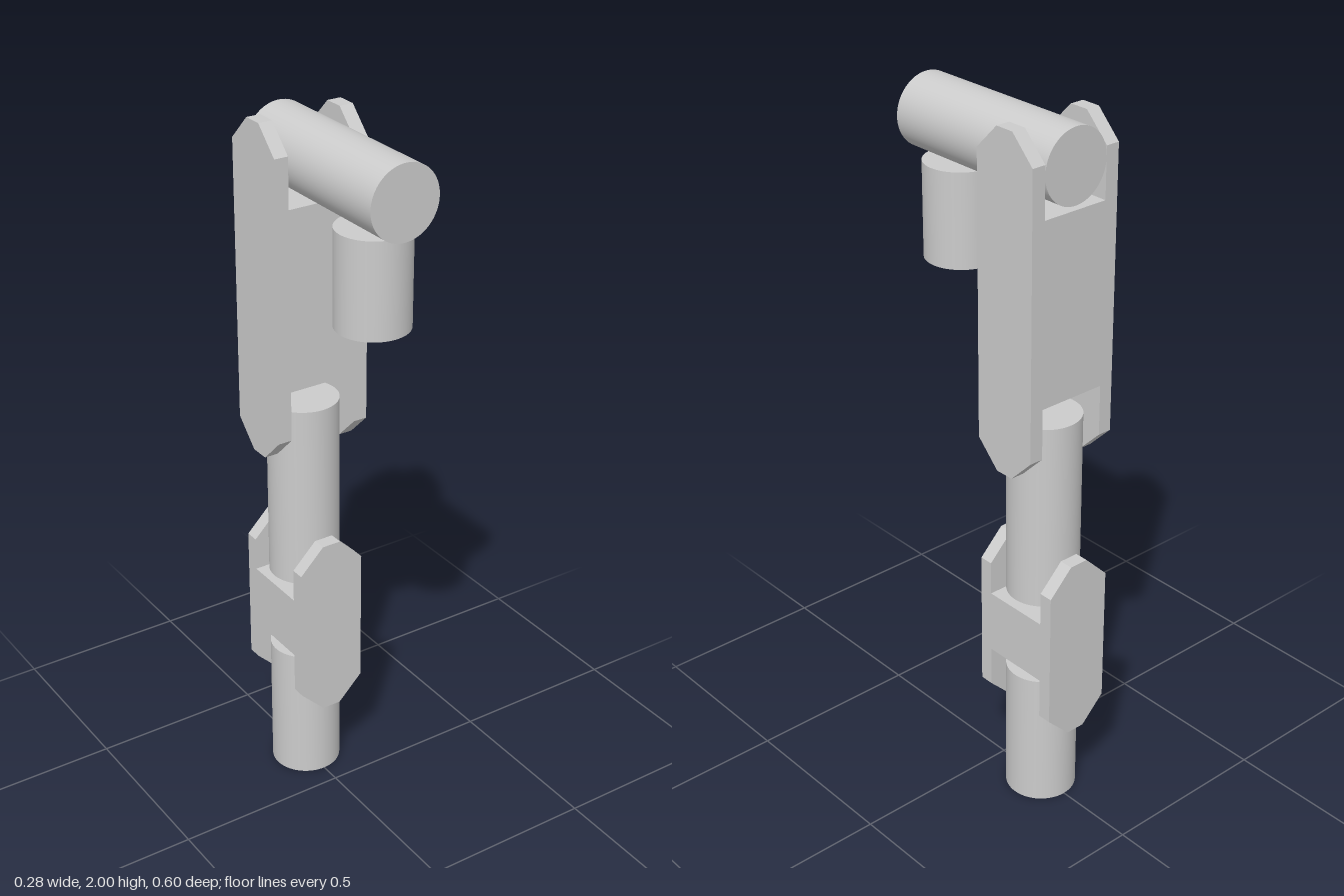
import * as THREE from 'three';

const R = 0.1;      // rod radius, also half the bracket width
const PLATE = 0.04; // cheek plate thickness
const CUT = 0.072;  // corner chamfer
const Z = -0.16;    // axis of the upright rods

const material = new THREE.MeshStandardMaterial({ color: 0xcccccc });

function part(name, geometry) {
  const mesh = new THREE.Mesh(geometry, material);
  mesh.name = name;
  return mesh;
}

function rod(name, length) {
  return part(name, new THREE.CylinderGeometry(R, R, length, 64));
}

function uprightRod(name, y0, y1, z) {
  const mesh = rod(name, y1 - y0);
  mesh.position.set(0, (y0 + y1) / 2, z);
  return mesh;
}

// H-shaped bracket: two chamfered cheek plates joined by a solid web
function bracket(name, y0, y1, web0, web1) {
  const group = new THREE.Group();
  group.name = name;
  const outline = new THREE.Shape([
    [-R + CUT, y0], [R - CUT, y0], [R, y0 + CUT], [R, y1 - CUT],
    [R - CUT, y1], [-R + CUT, y1], [-R, y1 - CUT], [-R, y0 + CUT],
  ].map(([x, y]) => new THREE.Vector2(x, y)));
  const plate = new THREE.ExtrudeGeometry(outline, { depth: PLATE, bevelEnabled: false });
  plate.rotateY(Math.PI / 2); // thickness now runs along +x
  const left = part('leftPlate', plate);
  left.position.x = R;
  const right = part('rightPlate', plate);
  right.position.x = -R - PLATE;
  const web = part('web', new THREE.BoxGeometry(2 * R, web1 - web0, 2 * R));
  web.position.y = (web0 + web1) / 2;
  group.add(left, right, web);
  group.position.z = Z;
  return group;
}

export function createModel() {
  const model = new THREE.Group();
  model.name = 'jointedArm';

  // Upright rods and the short hanging rod
  model.add(
    uprightRod('baseRod', 0, 0.41, Z),
    uprightRod('middleRod', 0.66, 1.2, Z),
    uprightRod('hangingRod', 1.535, 1.8, 0.167),
  );

  // Horizontal top arm
  const arm = rod('topArm', 0.557);
  arm.rotation.x = Math.PI / 2;
  arm.position.set(0, 1.9, 0.0185);
  model.add(arm);

  // Brackets, the lower one turned a quarter
  const lower = bracket('lowerBracket', 0.255, 0.8, 0.445, 0.63);
  lower.rotation.y = Math.PI / 2;
  model.add(lower, bracket('upperBracket', 1.065, 2, 1.28, 1.788));

  return model;
}
